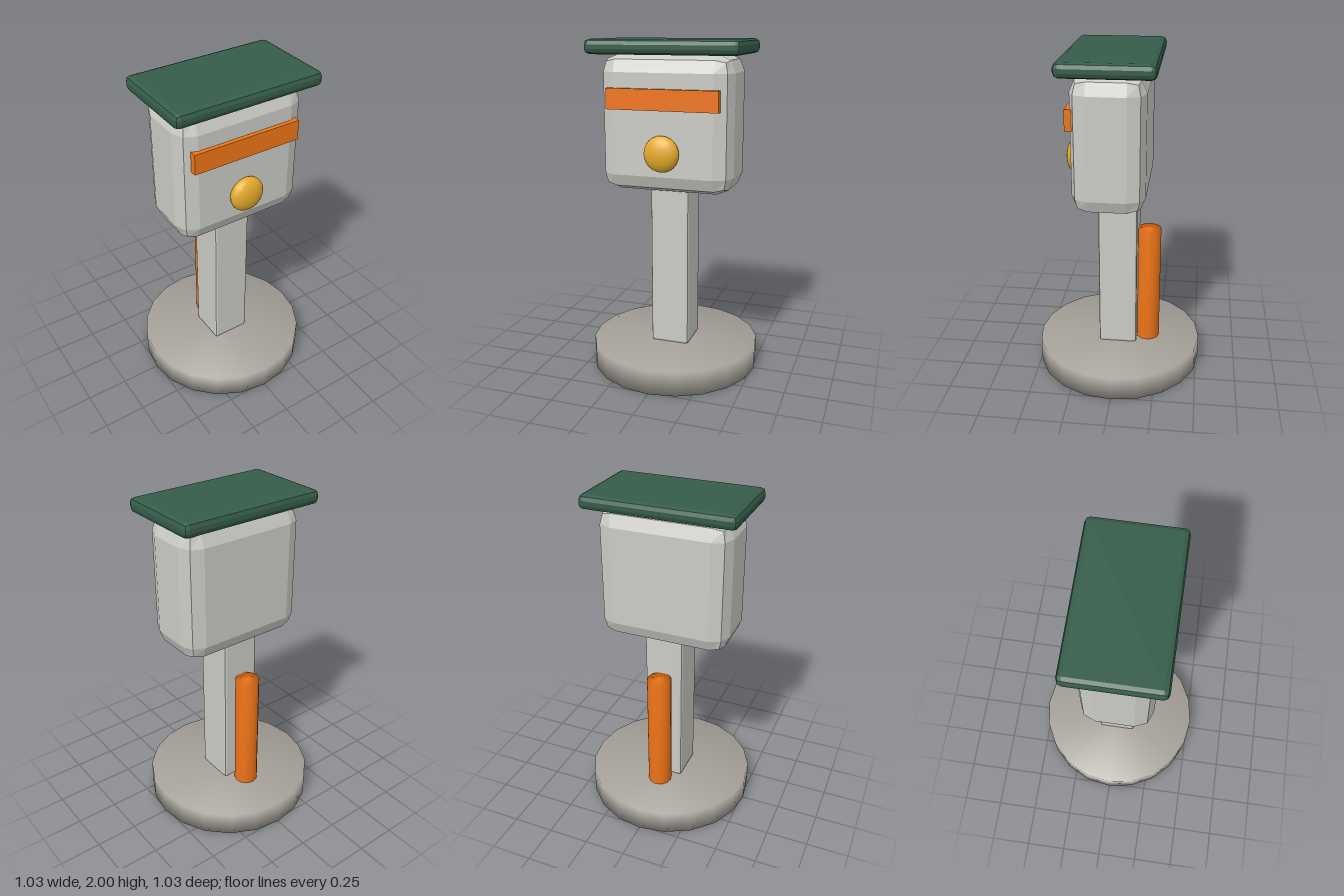
import * as THREE from 'three';
import { mergeVertices } from 'three/addons/utils/BufferGeometryUtils.js';
import { RoundedBoxGeometry } from 'three/addons/geometries/RoundedBoxGeometry.js';

const material = (color, flatShading = false) => new THREE.MeshStandardMaterial({ color, flatShading });

// Cylinder whose normals flow over the rims, without a crease.
function softCylinder(radius, height, sides) {
  const geometry = new THREE.CylinderGeometry(radius, radius, height, sides);
  geometry.deleteAttribute('normal');
  geometry.deleteAttribute('uv');
  const merged = mergeVertices(geometry, 1e-4);
  merged.computeVertexNormals();
  return merged;
}

// Box with a two-facet bevel along every edge.
const bevelBox = (w, h, d, bevel) => new RoundedBoxGeometry(w, h, d, 1, bevel);

export function createModel() {
  const group = new THREE.Group();
  const add = (name, geometry, mat, x, y, z) => {
    const mesh = new THREE.Mesh(geometry, mat);
    mesh.name = name;
    mesh.position.set(x, y, z);
    group.add(mesh);
    return mesh;
  };

  const shell = material(0xcbccc5, true);
  const orange = material(0xf07518);

  // Round foot and square post
  add('base', softCylinder(0.515, 0.15, 20), material(0xa5a199), 0, 0.075, 0);
  add('post', bevelBox(0.236, 1.05, 0.236, 0.015), shell, 0, 0.675, 0);

  // Upright tube behind the post, running down into the foot
  add('rearTube', softCylinder(0.073, 0.907, 12), orange, 0, 0.4565, -0.184);

  // Cabinet with overhanging roof
  add('cabinet', bevelBox(0.79, 0.79, 0.42, 0.1), shell, 0, 1.523, 0.03);
  add('roof', bevelBox(0.904, 0.084, 0.54, 0.03), material(0x355c4a, true), 0, 1.958, 0.03);

  // Front strip and flattened button
  add('frontStrip', new THREE.BoxGeometry(0.664, 0.12, 0.045), orange, 0, 1.67, 0.2425);
  const button = add('button', new THREE.SphereGeometry(0.105, 20, 12), material(0xe8ac2c), 0, 1.367, 0.26);
  button.scale.z = 0.53;

  return group;
}
